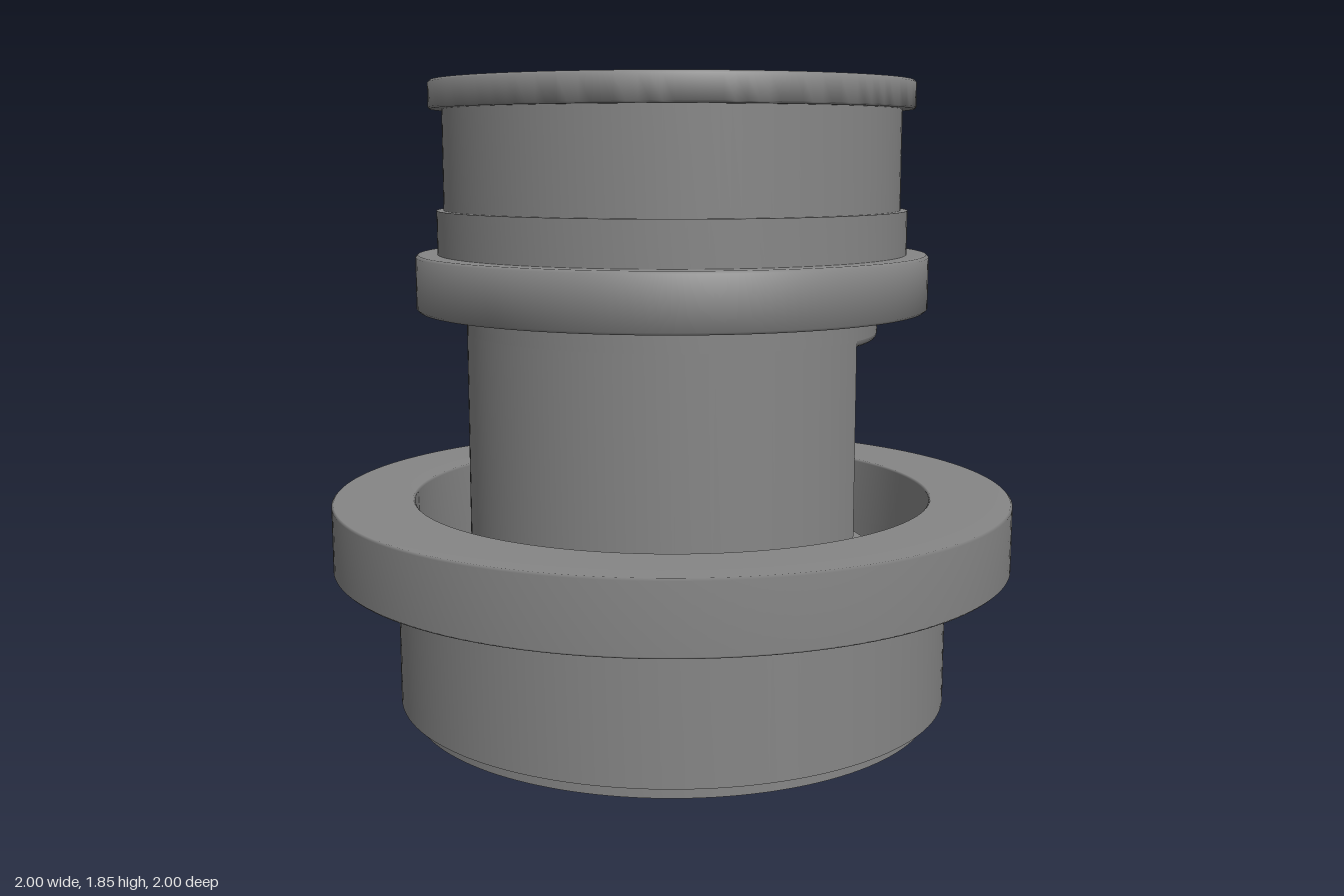
import * as THREE from 'three';
import { toCreasedNormals } from 'three/addons/utils/BufferGeometryUtils.js';

const SEG = 144;
const grey = new THREE.MeshStandardMaterial({ color: 0x868686 });
const thin = new THREE.MeshStandardMaterial({ color: 0x868686, side: THREE.DoubleSide });

function add(parent, name, geometry, material = grey) {
  const mesh = new THREE.Mesh(geometry, material);
  mesh.name = name;
  parent.add(mesh);
}

// Revolved profile; points run upward along the outside
const lathe = (points) => new THREE.LatheGeometry(points.map(([r, y]) => new THREE.Vector2(r, y)), SEG);

// Revolved profile with sharp corners and soft bevels
const turned = (points) => toCreasedNormals(lathe(points), 0.9);

// Point in plan, angle measured from +x towards +z
const polar = (r, a) => new THREE.Vector2(r * Math.cos(a), r * Math.sin(a));

// Points on a horizontal arc in n steps
function arc(r, from, to, n) {
  return Array.from({ length: n + 1 }, (_, i) => polar(r, from + (to - from) * i / n));
}

// Upright wall following a path in plan
function wall(path, y0, y1) {
  const n = path.length;
  const g = new THREE.PlaneGeometry(1, 1, n - 1, 1);
  for (let i = 0; i < n; i++) {
    g.attributes.position.setXYZ(i, path[i].x, y1, path[i].y);
    g.attributes.position.setXYZ(n + i, path[i].x, y0, path[i].y);
  }
  return toCreasedNormals(g, 0.6);
}

export function createModel() {
  const model = new THREE.Group();

  // Outer sleeve: open tube with a stepped foot and a broad, softly shaded flange
  const sleeve = new THREE.Group();
  sleeve.name = 'sleeve';
  model.add(sleeve);
  add(sleeve, 'sleeveBody', turned([
    [0.76, 0.45], [0.76, 0], [0.778, 0], [0.778, 0.04], [0.815, 0.04], [0.815, 0.45],
  ]), thin);
  add(sleeve, 'sleeveFlange', lathe([
    [0.76, 0.445], [0.994, 0.445], [1, 0.451], [1, 0.639], [0.994, 0.645],
    [0.766, 0.645], [0.76, 0.639], [0.76, 0.445],
  ]));

  // Inner tube: hollow below, with a pocket let into its left side
  const tube = new THREE.Group();
  tube.name = 'innerTube';
  model.add(tube);
  const R = 0.6, core = 0.43, floor = 0.47, ceiling = 1.11, top = 1.195, round = 0.02;
  const steps = 30, outerA = Math.PI * steps / SEG, innerA = 0.77;
  const ring = (y0, y1) => wall(arc(R, 0, Math.PI * 2, SEG), y0, y1);
  add(tube, 'lowerTube', ring(0.04, floor), thin);
  add(tube, 'upperTube', ring(ceiling + round, top), thin);
  add(tube, 'middleTube',
    wall(arc(R, outerA, Math.PI * 2 - outerA, SEG - steps), floor, ceiling + round), thin);
  const back = arc(core, -innerA, innerA, steps);
  add(tube, 'pocketWalls',
    wall([polar(R, -outerA), ...back, polar(R, outerA)], floor, ceiling + round), thin);

  // Pocket floor and ceiling, and the softened front edge of the ceiling
  const plan = (r) => new THREE.ShapeGeometry(
    new THREE.Shape([...back, ...arc(r, outerA, -outerA, steps)])).rotateX(Math.PI / 2);
  add(tube, 'pocketFloor', plan(R).translate(0, floor, 0), thin);
  add(tube, 'pocketCeiling', plan(R - round).translate(0, ceiling, 0), thin);
  const lip = arc(round, -Math.PI / 2, 0, 4).map(
    (p) => new THREE.Vector2(R - round + p.x, ceiling + round + p.y));
  add(tube, 'pocketLip',
    new THREE.LatheGeometry(lip, steps, Math.PI / 2 - outerA, outerA * 2), thin);

  // Head: collar, stepped neck and closed cap
  const head = new THREE.Group();
  head.name = 'head';
  model.add(head);
  add(head, 'collar', turned([
    [0, top], [0.72, top], [0.736, top], [0.743, top + 0.007],
    [0.743, 1.348], [0.736, 1.355], [0.72, 1.355], [0.67, 1.355],
  ]));
  add(head, 'neck', turned([
    [0.68, 1.35], [0.68, 1.48], [0.66, 1.48], [0.66, 1.77],
  ]));
  add(head, 'cap', turned([
    [0.65, 1.765], [0.693, 1.765], [0.698, 1.77], [0.698, 1.839],
    [0.692, 1.845], [0.68, 1.845], [0, 1.845],
  ]));

  return model;
}
